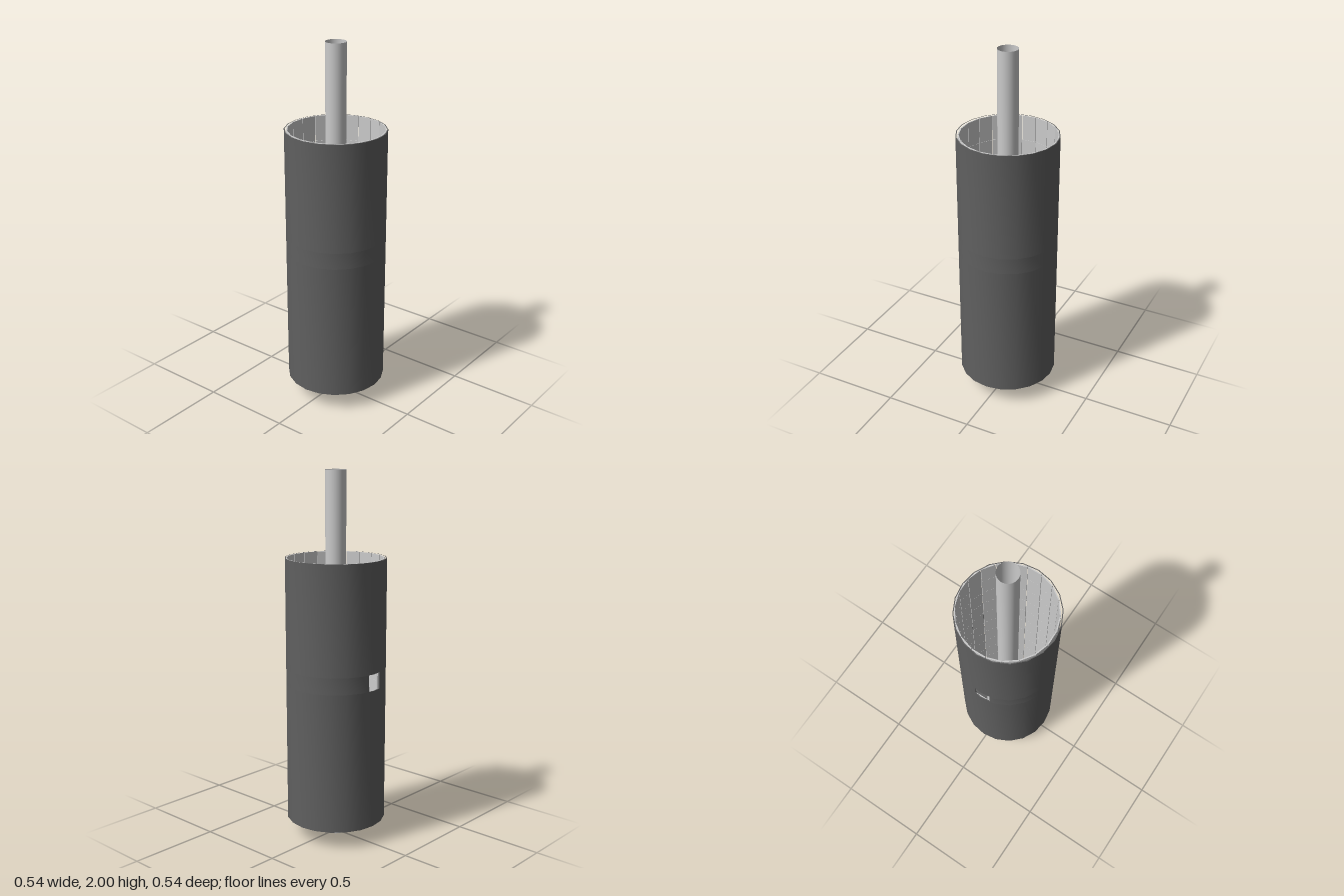
import * as THREE from 'three';
import { toCreasedNormals } from 'three/addons/utils/BufferGeometryUtils.js';

const SIDES = 20, STEP = (Math.PI * 2) / SIDES;
const BASE = 0.1, FLOOR = 0.14, TOP = 1.545;
const OUTER = 0.271, INNER = 0.266;
const WINDOW = { left: -0.057, right: 0.033, low: 0.865, high: 0.955 };

const light = new THREE.MeshStandardMaterial({ color: 0xcccccc });
const lightThin = new THREE.MeshStandardMaterial({ color: 0xcccccc, side: THREE.DoubleSide });
const dark = new THREE.MeshStandardMaterial({ color: 0x606060 });

function add(parent, name, geometry, material) {
  const mesh = new THREE.Mesh(geometry, material);
  mesh.name = name;
  parent.add(mesh);
  return mesh;
}

// Corners of the housing outline, starting at the back (-z)
function corners(r, first = 0) {
  const points = [];
  for (let k = first; k < SIDES; k++) {
    points.push(new THREE.Vector2(Math.sin(k * STEP) * r, Math.cos(k * STEP) * r));
  }
  return points;
}

// Outline left open across the window at the back
function openCorners(r) {
  const edge = (x) => new THREE.Vector2(x, r - Math.abs(x) * Math.tan(STEP / 2));
  return [edge(WINDOW.right), ...corners(r, 1), edge(WINDOW.left)];
}

function band(shape, y0, y1) {
  const g = new THREE.ExtrudeGeometry(shape, { depth: y1 - y0, bevelEnabled: false });
  g.rotateX(-Math.PI / 2).translate(0, y0, 0);
  return toCreasedNormals(g, 0.5);
}

export function createModel() {
  const model = new THREE.Group();
  model.name = 'cylinderOnRod';

  // Housing wall in three bands, the middle one interrupted by the window
  const housing = new THREE.Group();
  housing.name = 'housing';
  model.add(housing);
  const ring = new THREE.Shape(corners(OUTER));
  ring.holes.push(new THREE.Path(corners(INNER)));
  const openRing = new THREE.Shape([...openCorners(OUTER), ...openCorners(INNER).reverse()]);
  add(housing, 'lowerWall', band(ring, BASE, WINDOW.low), dark);
  add(housing, 'windowWall', band(openRing, WINDOW.low, WINDOW.high), dark);
  add(housing, 'upperWall', band(ring, WINDOW.high, TOP), dark);

  // Floor plate
  const floor = new THREE.CylinderGeometry(OUTER - 0.001, OUTER - 0.001, FLOOR - BASE, SIDES);
  add(housing, 'floor', floor.translate(0, (BASE + FLOOR) / 2, 0), dark);

  // Lining of small plates, slightly turned and off centre; one is left out at the window
  const lining = new THREE.Group();
  lining.name = 'lining';
  lining.position.set(0.0045, 0, 0);
  lining.rotation.y = 0.028;
  model.add(lining);
  const rows = 10, rowHeight = (TOP - FLOOR) / rows;
  const plate = new THREE.BoxGeometry(0.0065, rowHeight - 0.001, 0.0775);
  for (let k = 0; k < SIDES; k++) {
    for (let row = 0; row < rows; row++) {
      const y = FLOOR + (row + 0.5) * rowHeight;
      const atWindow = k === SIDES / 4 && y > WINDOW.low && y < WINDOW.high;
      if (atWindow) continue;
      const a = k * STEP;
      const mesh = add(lining, 'liningPlate', plate, light);
      mesh.position.set(Math.cos(a) * 0.2565, y, -Math.sin(a) * 0.2565);
      mesh.rotation.y = a;
    }
  }

  // Collar standing on the floor, with a small outer chamfer
  const profile = [[0.107, FLOOR], [0.129, FLOOR], [0.129, 0.187], [0.126, 0.19], [0.107, 0.19], [0.107, FLOOR]]
    .map(([x, y]) => new THREE.Vector2(x, y));
  add(model, 'collar', toCreasedNormals(new THREE.LatheGeometry(profile, 40), 0.5), light);

  // Hollow rod through the middle
  const rod = new THREE.CylinderGeometry(0.055, 0.055, 2, 32, 1, true);
  add(model, 'rod', rod.translate(0, 1, 0), lightThin);

  return model;
}
